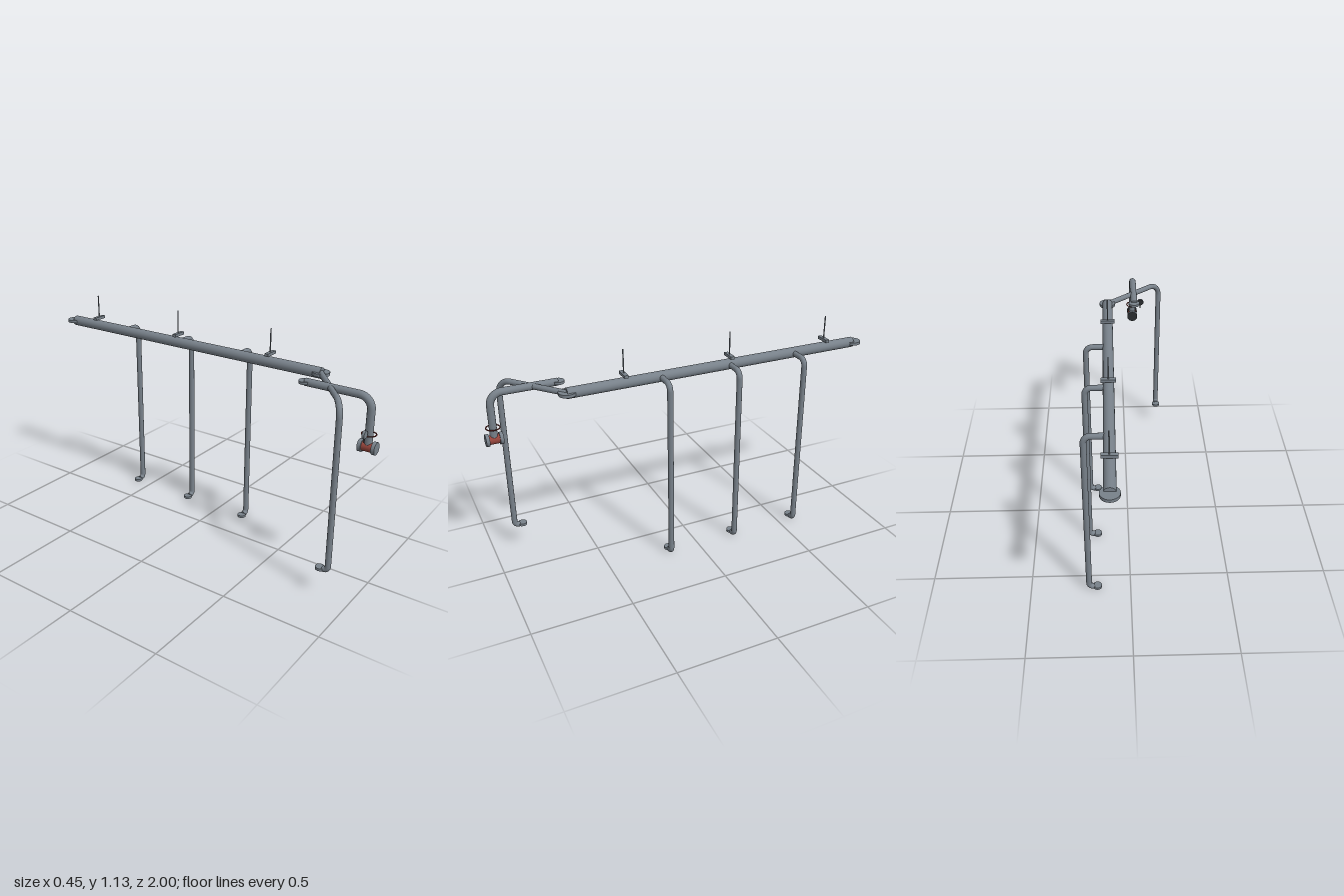
import * as THREE from 'three';

const mat = (name, color) => {
  const m = new THREE.MeshStandardMaterial({ color });
  m.name = name;
  return m;
};
const V = (x, y, z) => new THREE.Vector3(x, y, z);

export function createModel() {
  const root = new THREE.Group();
  root.name = 'pipework';
  const steel = mat('steel', 0x78818a);
  const dark = mat('darkSteel', 0x2a2d30);
  const red = mat('redPaint', 0x96453c);
  const darkRed = mat('darkRed', 0x6b2a26);

  const add = (parent, name, geo, m, x = 0, y = 0, z = 0) => {
    const mesh = new THREE.Mesh(geo, m);
    mesh.name = name;
    mesh.position.set(x, y, z);
    parent.add(mesh);
    return mesh;
  };

  // Flange with a dark underside
  const disc = (parent, name, r, h, x, y, z) =>
    add(parent, name, new THREE.CylinderGeometry(r, r, h, 24), [steel, steel, dark], x, y, z);

  // Pipe along straight runs joined by rounded elbows, with closed ends
  const pipe = (parent, name, pts, radii, r) => {
    const path = new THREE.CurvePath();
    let from = pts[0];
    for (let i = 1; i < pts.length - 1; i++) {
      const p = pts[i];
      const u = pts[i - 1].clone().sub(p).normalize();
      const w = pts[i + 1].clone().sub(p).normalize();
      const R = radii[i - 1], k = R * 0.448;
      const a = p.clone().addScaledVector(u, R), b = p.clone().addScaledVector(w, R);
      path.add(new THREE.LineCurve3(from, a));
      path.add(new THREE.CubicBezierCurve3(a, p.clone().addScaledVector(u, k), p.clone().addScaledVector(w, k), b));
      from = b;
    }
    const last = pts[pts.length - 1];
    path.add(new THREE.LineCurve3(from, last));
    add(parent, name, new THREE.TubeGeometry(path, 160, r, 16), steel);
    for (const [end, next] of [[pts[0], pts[1]], [last, pts[pts.length - 2]]]) {
      const cap = add(parent, name + 'End', new THREE.CircleGeometry(r, 16), steel, end.x, end.y, end.z);
      cap.quaternion.setFromUnitVectors(V(0, 0, 1), end.clone().sub(next).normalize());
    }
  };

  const Y = 0.967, X = 0.095;

  // Main header and its end plates
  const header = new THREE.Group();
  header.name = 'header';
  root.add(header);
  const main = add(header, 'mainPipe', new THREE.CylinderGeometry(0.027, 0.027, 1.585, 20), steel, X, Y, -0.1575);
  main.rotation.x = Math.PI / 2;
  disc(header, 'backPlate', 0.043, 0.015, X, Y, -0.957);
  disc(header, 'frontPlate', 0.043, 0.015, X, Y, 0.63);

  // Hangers above the header
  for (const z of [-0.77, -0.21, 0.352]) {
    const hanger = new THREE.Group();
    hanger.name = 'hanger';
    hanger.position.set(X, 0, z);
    add(hanger, 'hangerBar', new THREE.BoxGeometry(0.073, 0.015, 0.02), steel, 0, 1.01, 0);
    add(hanger, 'hangerRod', new THREE.CylinderGeometry(0.0032, 0.0032, 0.12, 10), steel, 0, 1.075, 0);
    root.add(hanger);
  }

  // Three drop legs
  for (const z of [-0.582, -0.208, 0.165]) {
    const leg = new THREE.Group();
    leg.name = 'dropLeg';
    leg.position.z = z;
    pipe(leg, 'dropPipe', [V(X, Y, 0), V(0.209, Y, 0), V(0.209, 0.019, 0), V(0.18, 0.019, 0)], [0.035, 0.022], 0.0145);
    disc(leg, 'footFlange', 0.022, 0.013, 0.167, 0.019, 0);
    root.add(leg);
  }

  // Diagonal branch that turns down at the front
  const branch = new THREE.Group();
  branch.name = 'diagonalBranch';
  root.add(branch);
  pipe(branch, 'diagonalPipe', [V(X, Y, 0.63), V(-0.204, Y, 0.88), V(-0.204, 0.138, 0.88), V(-0.204, 0.138, 0.853)], [0.07, 0.02], 0.0145);
  disc(branch, 'branchFlange', 0.023, 0.013, -0.204, 0.138, 0.84);

  // Valve branch
  const valve = new THREE.Group();
  valve.name = 'valveBranch';
  root.add(valve);
  const vx = -0.054, vz = 0.957;
  disc(valve, 'valvePipePlate', 0.03, 0.013, vx, Y, 0.628);
  pipe(valve, 'valvePipe', [V(vx, Y, 0.63), V(vx, Y, vz), V(vx, 0.74, vz)], [0.06], 0.0185);

  // Valve body between two flanges
  const body = add(valve, 'valveBody', new THREE.CylinderGeometry(0.023, 0.023, 0.07, 24), red, vx, 0.732, vz);
  body.rotation.x = Math.PI / 2;
  for (const z of [0.924, 0.99]) {
    disc(valve, 'valveFlange', 0.03, 0.017, vx, 0.732, z).rotation.x = Math.PI / 2;
  }

  // Thin ring around the upright pipe
  const ring = add(valve, 'handRing', new THREE.TorusGeometry(0.033, 0.003, 8, 32), darkRed, vx, 0.793, vz);
  ring.rotation.x = Math.PI / 2;

  // Gauge on its stem
  const gauge = add(valve, 'gauge', new THREE.CylinderGeometry(0.019, 0.019, 0.012, 24), [steel, steel, dark], -0.103, 0.807, vz);
  gauge.rotation.x = Math.PI / 2;
  add(valve, 'gaugeStem', new THREE.CylinderGeometry(0.003, 0.003, 0.025, 10), dark, -0.103, 0.782, vz);
  const arm = add(valve, 'gaugeArm', new THREE.CylinderGeometry(0.003, 0.003, 0.05, 10), steel, -0.09, 0.793, vz);
  arm.rotation.z = Math.PI / 2;
  return root;
}
